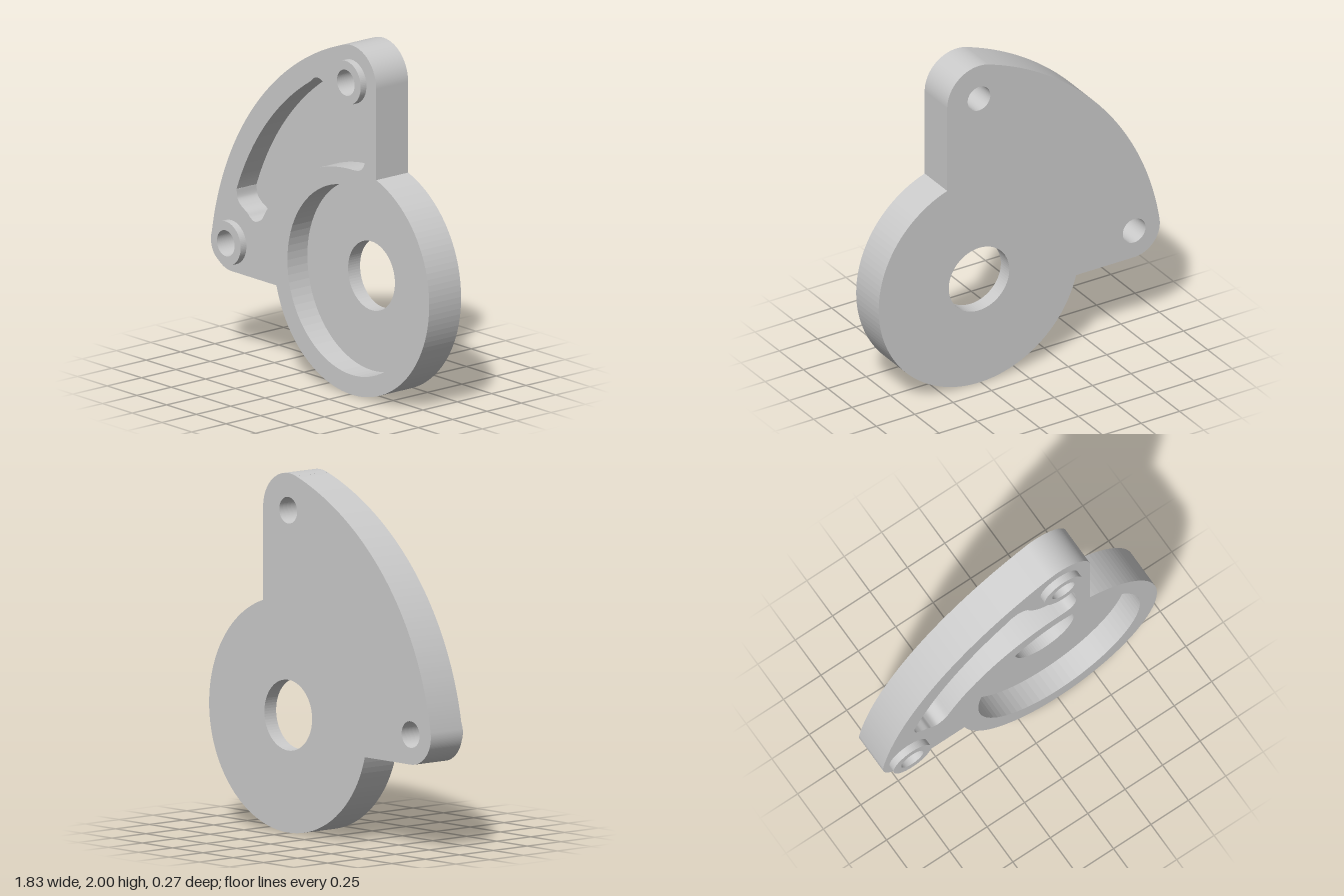
import * as THREE from 'three';

const BACK = -0.137, FLOOR = -0.05, FACE = 0.095, BOSS = 0.137;
const HUB = { x: 0.26, y: 0.653, r: 0.653 };
// Mounting ears: centre and outer corner radius
const TOP = { x: 0.26, y: 1.793, r: 0.207 };
const SIDE = { x: -0.75, y: 0.655, r: 0.167 };
// Large outer arc, tangent to both ears
const ARC = { x: 0.71, y: 0.427, r: 1.645 };
const BORE = 0.074;

const rad = THREE.MathUtils.degToRad;
const angle = (from, x, y) => Math.atan2(y - from.y, x - from.x);
const spline = (path, pts) => path.splineThru(pts.map(([x, y]) => new THREE.Vector2(x, y)));

function circle(c, r) {
  return new THREE.Path().absarc(c.x, c.y, r, 0, Math.PI * 2, false);
}

// Round hub joined to a curved two-eared arm
function outline() {
  const s = new THREE.Shape();
  const right = TOP.x + TOP.r, low = SIDE.y - SIDE.r;
  const hubTop = HUB.y + Math.sqrt(HUB.r ** 2 - (right - HUB.x) ** 2);
  const hubLeft = HUB.x - Math.sqrt(HUB.r ** 2 - (low - HUB.y) ** 2);
  const a = angle(ARC, TOP.x, TOP.y), b = angle(ARC, SIDE.x, SIDE.y);
  s.absarc(HUB.x, HUB.y, HUB.r, angle(HUB, hubLeft, low), angle(HUB, right, hubTop), false);
  s.absarc(TOP.x, TOP.y, TOP.r, 0, a, false);
  s.absarc(ARC.x, ARC.y, ARC.r, a, b, false);
  s.absarc(SIDE.x, SIDE.y, SIDE.r, b, Math.PI * 1.5, false);
  s.closePath();
  return s;
}

// Rounded pocket that follows the arm
function armPocket() {
  const p = new THREE.Path();
  p.absarc(ARC.x, ARC.y, 1.517, rad(159.1), rad(121.5), true);
  spline(p, [[-0.055, 1.745], [-0.016, 1.752], [0.035, 1.73], [0.065, 1.685]]);
  p.absarc(TOP.x, TOP.y, 0.223, rad(209), rad(275), false);
  spline(p, [[0.33, 1.557], [0.36, 1.52], [0.368, 1.47]]);
  p.lineTo(0.368, 1.43);
  spline(p, [[0.374, 1.375], [0.36, 1.325], [0.325, 1.295], [0.27, 1.288]]);
  p.absarc(0.27, 0.418, 0.87, rad(90), rad(147.9), false);
  spline(p, [[-0.5, 0.835], [-0.55, 0.813], [-0.59, 0.827], [-0.62, 0.853],
    [-0.665, 0.878], [-0.7, 0.915], [-0.707, 0.968]]);
  p.closePath();
  return p;
}

function slab(name, shape, holes, z0, z1, material) {
  shape.holes.push(...holes);
  const geo = new THREE.ExtrudeGeometry(shape, { depth: z1 - z0, bevelEnabled: false, curveSegments: 40 });
  geo.translate(0, 0, z0);
  const mesh = new THREE.Mesh(geo, material);
  mesh.name = name;
  return mesh;
}

export function createModel() {
  const group = new THREE.Group();
  group.name = 'mountingPlate';
  const mat = new THREE.MeshStandardMaterial({ color: 0xcccccc });
  const bores = () => [circle(TOP, BORE), circle(SIDE, BORE)];

  // Thin floor with the centre hole and screw bores
  group.add(slab('backPlate', outline(), [circle(HUB, 0.197), ...bores()], BACK, FLOOR, mat));
  // Raised walls around the round seat and the arm pocket
  group.add(slab('frontWalls', outline(), [circle(HUB, 0.54), armPocket(), ...bores()], FLOOR, FACE, mat));
  // Raised ring around each screw bore
  for (const [name, ear] of [['topBoss', TOP], ['sideBoss', SIDE]]) {
    const ring = new THREE.Shape().absarc(ear.x, ear.y, 0.125, 0, Math.PI * 2, false);
    group.add(slab(name, ring, [circle(ear, BORE)], FACE, BOSS, mat));
  }
  return group;
}
